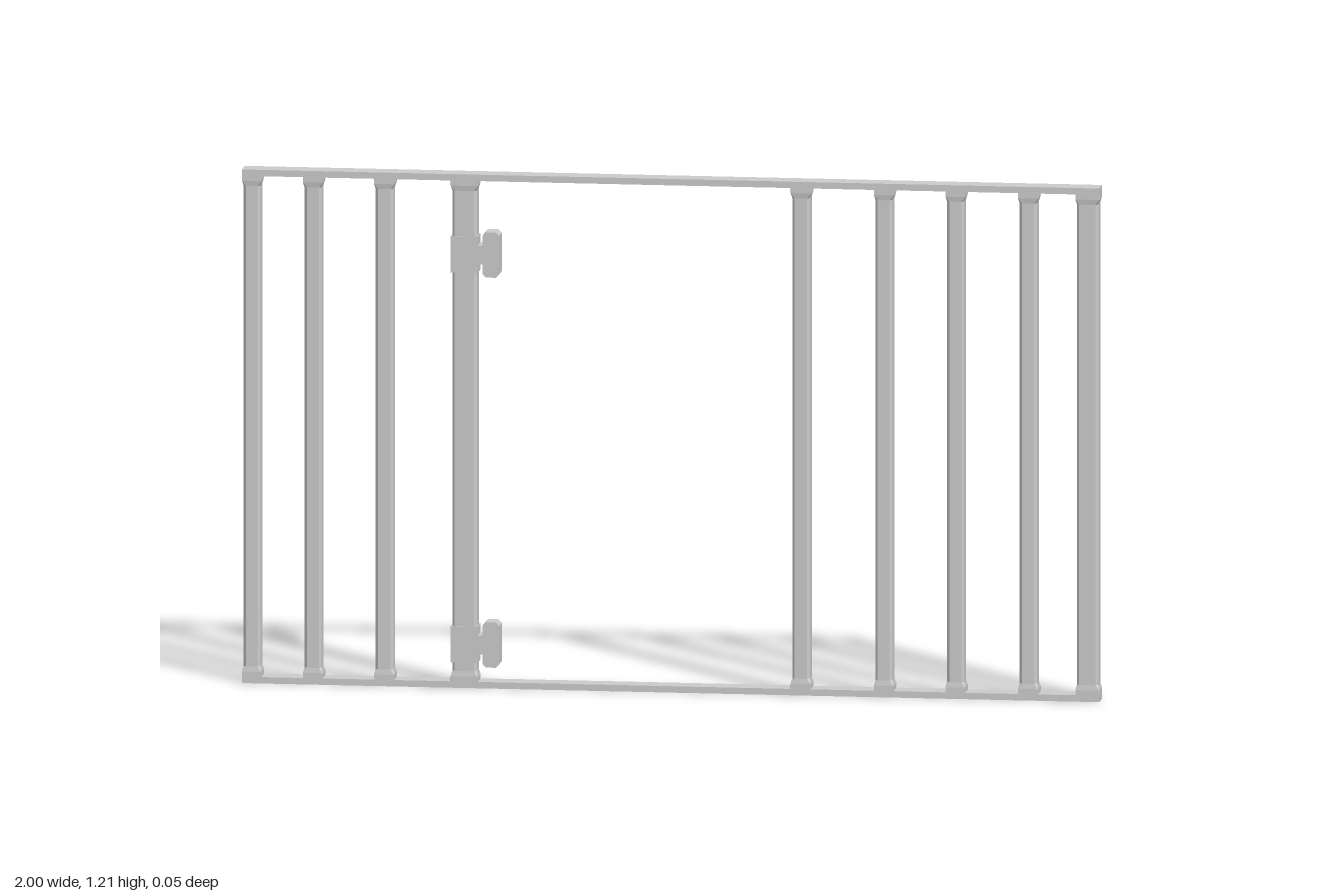
import * as THREE from 'three';

const HEIGHT = 1.205, RAIL = 0.015, DEPTH = 0.05;
const material = new THREE.MeshStandardMaterial({ color: 0xcccccc, flatShading: true });

function addMesh(parent, geometry, name, x = 0, y = 0, z = 0) {
  const mesh = new THREE.Mesh(geometry, material);
  mesh.name = name;
  mesh.position.set(x, y, z);
  parent.add(mesh);
  return mesh;
}

// Rectangle with cut corners, counter-clockwise seen from above
function section(width, depth, cut, y) {
  const a = width / 2, b = depth / 2;
  return [
    [a, b - cut], [a, cut - b], [a - cut, -b], [cut - a, -b],
    [-a, cut - b], [-a, b - cut], [cut - a, b], [a - cut, b],
  ].map(([x, z]) => [x, y, z]);
}

// Upright with square flared ends and chamfered edges between them
function uprightGeometry(width) {
  const y0 = RAIL, y1 = HEIGHT - RAIL;
  const rings = [
    section(width, DEPTH, 0.0005, y0),
    section(width, DEPTH, 0.0005, y0 + 0.012),
    section(width - 0.006, DEPTH - 0.004, 0.006, y0 + 0.024),
    section(width - 0.006, DEPTH - 0.004, 0.006, y1 - 0.024),
    section(width, DEPTH, 0.0005, y1 - 0.012),
    section(width, DEPTH, 0.0005, y1),
  ];
  const index = [];
  for (let r = 0; r < rings.length - 1; r++) {
    for (let i = 0; i < 8; i++) {
      const a = r * 8 + i, b = r * 8 + (i + 1) % 8;
      index.push(a, b, b + 8, a, b + 8, a + 8);
    }
  }
  const top = (rings.length - 1) * 8;
  for (let i = 1; i < 7; i++) {
    index.push(0, i + 1, i);
    index.push(top, top + i, top + i + 1);
  }
  const geometry = new THREE.BufferGeometry();
  geometry.setAttribute('position', new THREE.Float32BufferAttribute(rings.flat(2), 3));
  geometry.setIndex(index);
  const flat = geometry.toNonIndexed();
  flat.computeVertexNormals();
  return flat;
}

// Hinge lug: web from the post ending in a corner-cut block
function lugGeometry() {
  const c = 0.008;
  const shape = new THREE.Shape([
    [0, -0.022], [0.014, -0.022], [0.014, c - 0.053], [0.014 + c, -0.053],
    [0.053 - c, -0.053], [0.053, c - 0.053], [0.053, 0.053 - c], [0.053 - c, 0.053],
    [0.014 + c, 0.053], [0.014, 0.053 - c], [0.014, 0.022], [0, 0.022],
  ].map(([x, y]) => new THREE.Vector2(x, y)));
  return new THREE.ExtrudeGeometry(shape, { depth: DEPTH, bevelEnabled: false })
    .translate(0, 0, -DEPTH / 2);
}

export function createModel() {
  const model = new THREE.Group();
  model.name = 'fencePanel';

  // Top and bottom rails
  const rail = new THREE.BoxGeometry(2, RAIL, DEPTH);
  addMesh(model, rail, 'bottomRail', 0, RAIL / 2);
  addMesh(model, rail, 'topRail', 0, HEIGHT - RAIL / 2);

  // Uprights: [left edge, right edge]
  const uprights = [
    [-1, -0.955], [-0.858, -0.812], [-0.692, -0.645], [-0.513, -0.45], [0.28, 0.327],
    [0.474, 0.52], [0.641, 0.687], [0.81, 0.857], [0.944, 1],
  ];
  uprights.forEach(([a, b], i) => {
    addMesh(model, uprightGeometry(b - a), i === 3 ? 'gatePost' : 'upright' + (i + 1), (a + b) / 2);
  });

  // Hinge collars and lugs on the gate post
  const lug = lugGeometry();
  for (const [name, y] of [['lowerHinge', 0.102], ['upperHinge', 1.017]]) {
    const hinge = new THREE.Group();
    hinge.name = name;
    hinge.position.y = y;
    addMesh(hinge, new THREE.BoxGeometry(0.063, 0.085, DEPTH), 'collar', -0.4815);
    addMesh(hinge, lug, 'lug', -0.453);
    model.add(hinge);
  }
  return model;
}
